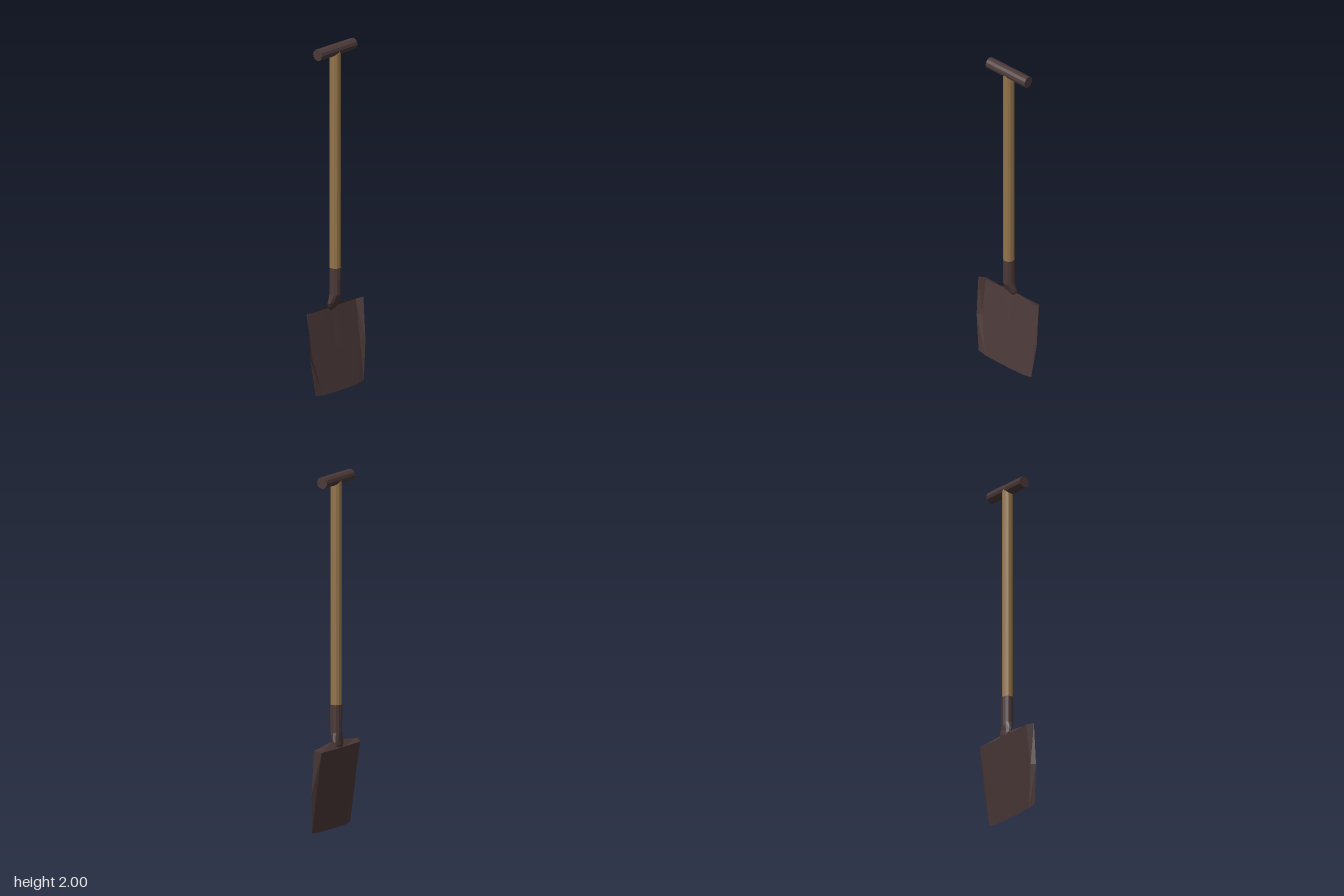
import * as THREE from 'three';

const SIDES = 12;
const AXIS = -0.003; // x of the shaft centre line

// Surface through rows of points, each row holding the same number of [x, y, z]
function loft(rows) {
  const n = rows[0].length, index = [];
  for (let r = 0; r < rows.length - 1; r++) {
    for (let c = 0; c < n - 1; c++) {
      const a = r * n + c, b = a + n;
      index.push(a, b, a + 1, a + 1, b, b + 1);
    }
  }
  const geo = new THREE.BufferGeometry();
  geo.setAttribute('position', new THREE.Float32BufferAttribute(rows.flat(2), 3));
  geo.setIndex(index);
  geo.computeVertexNormals();
  return geo;
}

export function createModel() {
  const group = new THREE.Group();
  const wood = new THREE.MeshStandardMaterial({ color: 0x94744a, flatShading: true });
  const metal = new THREE.MeshStandardMaterial({ color: 0x4c3939, flatShading: true });
  const sheet = metal.clone();
  sheet.side = THREE.DoubleSide;

  const add = (name, geo, mat) => {
    const mesh = new THREE.Mesh(geo, mat);
    mesh.name = name;
    group.add(mesh);
    return mesh;
  };

  // Wooden shaft, running up into the grip
  add('shaft', new THREE.CylinderGeometry(0.032, 0.032, 1.27, SIDES), wood).position.set(AXIS, 1.332, 0);

  // Cross grip along z
  const grip = add('grip', new THREE.CylinderGeometry(0.033, 0.033, 0.284, SIDES), metal);
  grip.rotation.x = Math.PI / 2;
  grip.position.set(AXIS, 1.967, 0);

  // Socket: round at the shaft, flattening into the blade [y, centre x, radius x, radius z]
  const rings = [
    [0.705, AXIS, 0.0, 0.0],
    [0.705, AXIS, 0.034, 0.034],
    [0.55, AXIS, 0.033, 0.033],
    [0.5, -0.014, 0.02, 0.045],
    [0.48, -0.019, 0.017, 0.042],
    [0.45, -0.032, 0.003, 0.01],
  ].map(([y, cx, rx, rz]) => Array.from({ length: SIDES + 1 }, (_, i) => {
    const a = (i / SIDES) * Math.PI * 2;
    return [cx + rx * Math.cos(a), y, rz * Math.sin(a)];
  }));
  add('socket', loft(rings), sheet);

  // Blade: half rows from the centre rib to the side lip, mirrored across z
  const halfRows = [
    // foot ledge, folded forward
    [[0, 0.5, 0], [0, 0.5, 0.05], [0, 0.483, 0.195], [0, 0.48, 0.22]],
    // top of the pan
    [[-0.037, 0.465, 0], [-0.035, 0.465, 0.05], [-0.035, 0.467, 0.195], [0, 0.48, 0.22]],
    // end of the side lips
    [[-0.002, 0.24, 0], [-0.001, 0.24, 0.05], [0, 0.24, 0.192], [0.015, 0.235, 0.22]],
    // cutting edge
    [[0.035, 0, 0], [0.035, 0, 0.05], [0.034, 0.002, 0.14], [0.03, 0.01, 0.192]],
  ];
  const rows = halfRows.map((half) => [
    ...half.slice(1).reverse().map(([x, y, z]) => [x, y, -z]),
    ...half,
  ]);
  add('blade', loft(rows), sheet);

  return group;
}
